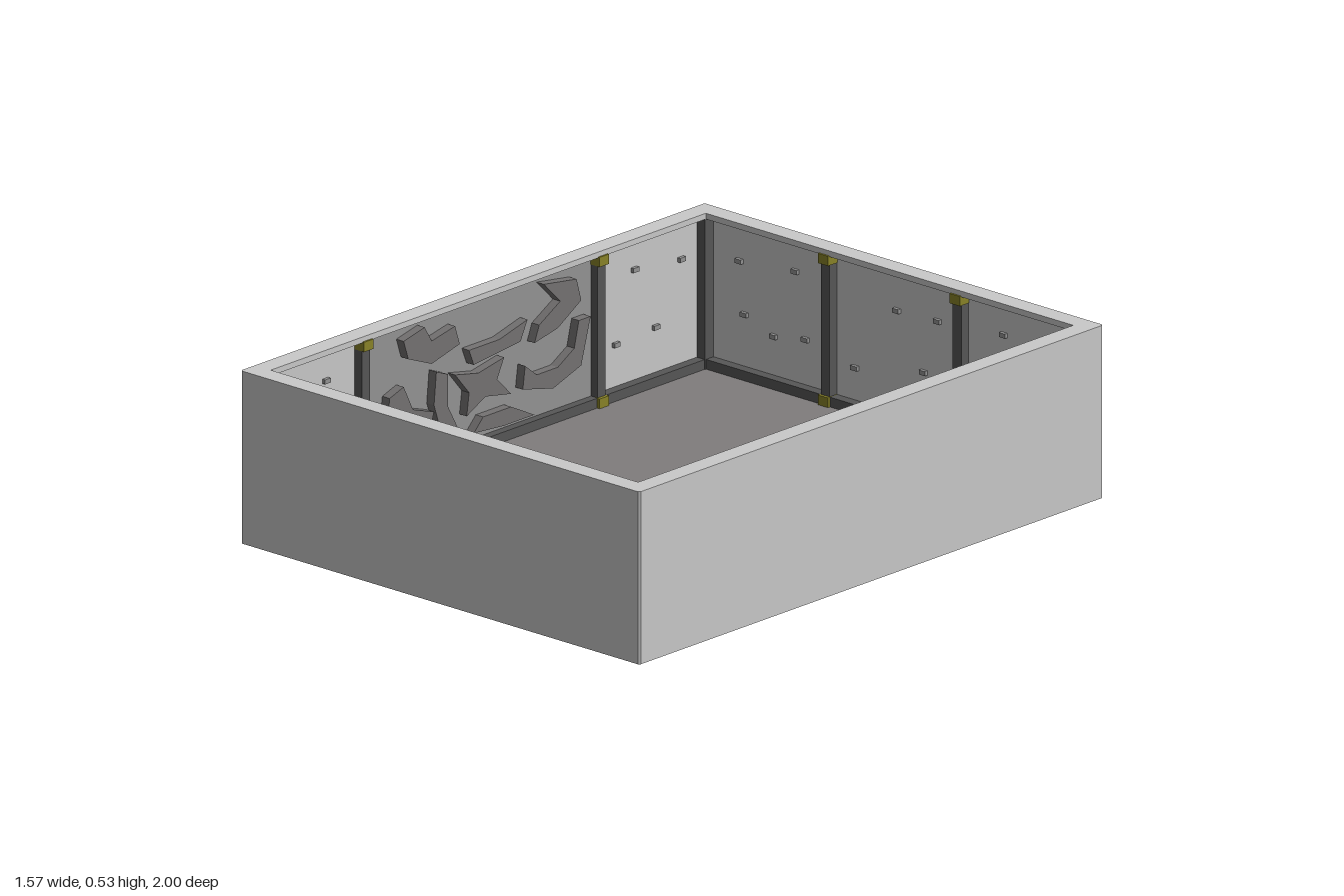
import * as THREE from 'three';

const mat = (name, color) => Object.assign(new THREE.MeshStandardMaterial({ color }), { name });

export function createModel() {
  const shell = mat('light grey shell', 0xcacaca);
  const floorGrey = mat('floor grey', 0x807d7d);
  const frame = mat('dark frame', 0x575757);
  const relief = mat('relief grey', 0x757373);
  const backing = mat('backing grey', 0x959595);
  const olive = mat('olive clip', 0x8a8428);
  const black = mat('connector black', 0x303030);

  const model = new THREE.Group();
  model.name = 'openTray';
  const body = new THREE.Group();
  body.name = 'body';
  body.position.z = 0.006;
  model.add(body);

  const X = 0.785, Z = 0.993, H = 0.53;

  function box(parent, name, m, [x0, x1], [y0, y1], [z0, z1]) {
    const mesh = new THREE.Mesh(new THREE.BoxGeometry(x1 - x0, y1 - y0, z1 - z0), m);
    mesh.position.set((x0 + x1) / 2, (y0 + y1) / 2, (z0 + z1) / 2);
    mesh.name = name;
    parent.add(mesh);
    return mesh;
  }

  // rectangular ring with small chamfered corners, lying flat between y0 and y1
  function ring(name, m, y0, y1, thick) {
    const c = 0.006;
    const s = new THREE.Shape([
      [-X + c, -Z], [X - c, -Z], [X, -Z + c], [X, Z - c],
      [X - c, Z], [-X + c, Z], [-X, Z - c], [-X, -Z + c],
    ].map(p => new THREE.Vector2(...p)));
    const a = X - thick, b = Z - thick;
    s.holes.push(new THREE.Path([[-a, -b], [-a, b], [a, b], [a, -b]].map(p => new THREE.Vector2(...p))));
    const mesh = new THREE.Mesh(new THREE.ExtrudeGeometry(s, { depth: y1 - y0, bevelEnabled: false }), m);
    mesh.rotation.x = -Math.PI / 2;
    mesh.position.y = y0;
    mesh.name = name;
    body.add(mesh);
  }

  // outer shell: thin walls between a broad base ring and top rim
  ring('baseRing', shell, 0, 0.045, 0.06);
  ring('walls', shell, 0.045, 0.512, 0.027);
  ring('topRim', shell, 0.512, H, 0.062);
  box(body, 'floor', floorGrey, [-0.74, 0.74], [0.026, 0.05], [-0.945, 0.945]);

  // flat relief outlines on the long walls, as [z, y] points
  const reliefs = [
    [[0.36, 0.47], [0.27, 0.49], [0.24, 0.44], [0.14, 0.46], [0.12, 0.40], [0.24, 0.37], [0.34, 0.41]],
    [[-0.24, 0.49], [-0.38, 0.47], [-0.40, 0.40], [-0.30, 0.34], [-0.20, 0.32], [-0.22, 0.37], [-0.31, 0.42]],
    [[-0.17, 0.40], [-0.14, 0.34], [0.06, 0.32], [0.08, 0.37], [-0.05, 0.37]],
    [[0.14, 0.31], [0.04, 0.29], [-0.07, 0.31], [-0.04, 0.25], [-0.10, 0.19], [0.01, 0.21], [0.09, 0.17], [0.08, 0.24]],
    [[-0.44, 0.34], [-0.40, 0.20], [-0.28, 0.16], [-0.15, 0.19], [-0.16, 0.26], [-0.21, 0.22], [-0.30, 0.22], [-0.37, 0.26], [-0.39, 0.34]],
    [[0.42, 0.31], [0.36, 0.33], [0.32, 0.25], [0.23, 0.22], [0.25, 0.16], [0.37, 0.18], [0.43, 0.23]],
    [[0.22, 0.34], [0.17, 0.32], [0.17, 0.22], [0.12, 0.13], [0.20, 0.15], [0.23, 0.24]],
    [[0.02, 0.15], [-0.10, 0.15], [-0.20, 0.10], [-0.07, 0.10], [0.06, 0.11]],
    [[0.42, 0.13], [0.30, 0.14], [0.22, 0.10], [0.38, 0.09]],
  ];
  // small catches: [x, y] on the short wall, [z, y] on the long wall
  const shortCatches = [
    [-0.62, 0.40], [-0.40, 0.42], [-0.485, 0.20], [-0.36, 0.22], [-0.60, 0.24],
    [0, 0.395], [-0.165, 0.18], [0.105, 0.23], [0.16, 0.40],
    [0.36, 0.30], [0.42, 0.42], [0.60, 0.40], [0.50, 0.20],
  ];
  const longCatches = [
    [-0.86, 0.40], [-0.66, 0.42], [-0.75, 0.22], [-0.58, 0.21],
    [0.86, 0.40], [0.66, 0.42], [0.75, 0.22], [0.60, 0.21],
  ];

  // inside of one long wall (-x) and one short wall (-z); the other two are this turned half round
  function inside(longPosts) {
    const g = new THREE.Group();
    g.name = 'wallLining';
    body.add(g);

    box(g, 'longRail', frame, [-0.76, -0.727], [0.05, 0.08], [-0.966, 0.966]);
    box(g, 'shortRail', frame, [-0.758, 0.758], [0.05, 0.08], [-0.968, -0.934]);
    box(g, 'cornerPost', frame, [-0.759, -0.725], [0.05, 0.511], [-0.967, -0.93]);
    box(g, 'cornerPost', frame, [0.725, 0.759], [0.05, 0.511], [-0.967, -0.93]);

    for (const z of longPosts) {
      box(g, 'longWallPost', frame, [-0.76, -0.728], [0.05, 0.511], [z - 0.017, z + 0.017]);
      for (const y of [0.05, 0.485])
        box(g, 'clip', olive, [-0.755, -0.717], [y, y + 0.03], [z - 0.02, z + 0.02]);
    }
    for (const x of [-0.257, 0.262]) {
      box(g, 'shortWallPost', frame, [x - 0.017, x + 0.017], [0.05, 0.511], [-0.968, -0.935]);
      for (const y of [0.05, 0.485])
        box(g, 'clip', olive, [x - 0.02, x + 0.02], [y, y + 0.03], [-0.965, -0.925]);
    }

    // middle panel with its relief
    box(g, 'reliefBacking', backing, [-0.76, -0.754], [0.08, 0.511], [longPosts[0] + 0.017, longPosts[1] - 0.017]);
    for (const pts of reliefs) {
      const s = new THREE.Shape(pts.map(([z, y]) => new THREE.Vector2(-z, y)));
      const m = new THREE.Mesh(new THREE.ExtrudeGeometry(s, { depth: 0.03, bevelEnabled: false }), relief);
      m.rotation.y = Math.PI / 2;
      m.position.x = -0.755;
      m.name = 'wallRelief';
      g.add(m);
    }
    for (const [x, y] of shortCatches)
      box(g, 'catch', backing, [x - 0.012, x + 0.012], [y - 0.007, y + 0.007], [-0.968, -0.955]);
    for (const [z, y] of longCatches)
      box(g, 'catch', backing, [-0.76, -0.747], [y - 0.007, y + 0.007], [z - 0.012, z + 0.012]);
    return g;
  }
  inside([-0.49, 0.518]);
  inside([-0.518, 0.49]).rotation.y = Math.PI;

  // small connectors low on the back
  for (const x of [-0.74, 0.735]) {
    box(body, 'connector', black, [x - 0.016, x + 0.016], [0.036, 0.064], [-1.006, -0.99]);
    box(body, 'connectorFace', frame, [x - 0.007, x + 0.007], [0.043, 0.057], [-1.008, -1.004]);
  }
  return model;
}
